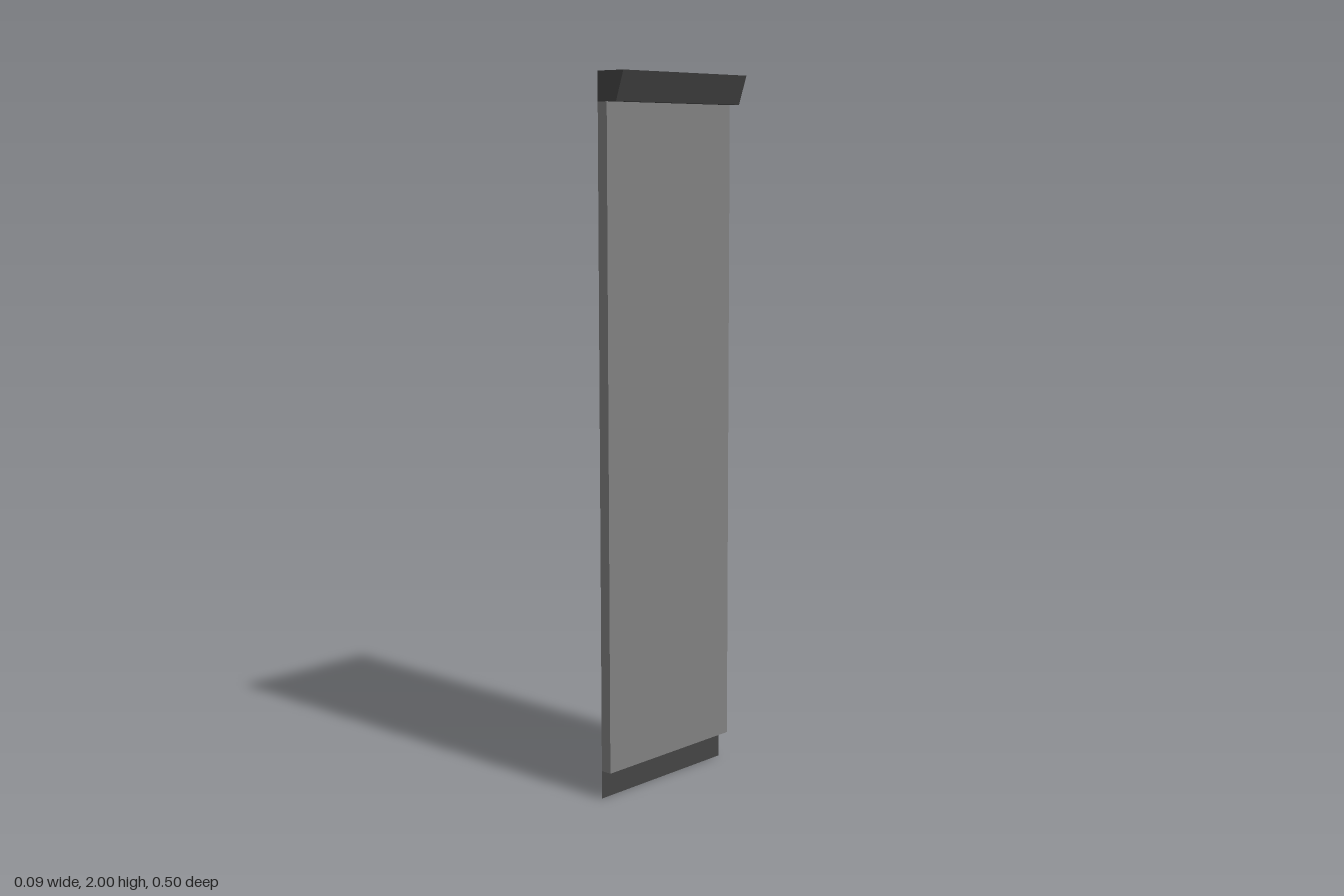
import * as THREE from 'three';

const HALF = 0.25; // half width along z
const BACK = -0.047; // plane of the open back

// Sweeps an open (x, y) profile along z; its two ends are closed with flat caps.
function openBackShell(profile, outline, material, name) {
  const group = new THREE.Group();
  group.name = name;

  const positions = [];
  for (let i = 0; i < profile.length - 1; i++) {
    const [ax, ay] = profile[i];
    const [bx, by] = profile[i + 1];
    positions.push(
      ax, ay, HALF, bx, by, HALF, bx, by, -HALF,
      ax, ay, HALF, bx, by, -HALF, ax, ay, -HALF
    );
  }
  const skin = new THREE.BufferGeometry();
  skin.setAttribute('position', new THREE.Float32BufferAttribute(positions, 3));
  skin.computeVertexNormals();
  const shell = new THREE.Mesh(skin, material);
  shell.name = name + 'Shell';
  group.add(shell);

  const shape = new THREE.Shape(outline.map(([x, y]) => new THREE.Vector2(x, y)));
  for (const side of [1, -1]) {
    const capGeometry = new THREE.ShapeGeometry(shape);
    if (side < 0) {
      // mirror the cap so that it faces -z
      capGeometry.rotateY(Math.PI).scale(-1, 1, 1);
      const index = capGeometry.index;
      for (let i = 0; i < index.count; i += 3) {
        const b = index.getX(i + 1);
        index.setX(i + 1, index.getX(i + 2));
        index.setX(i + 2, b);
      }
      capGeometry.computeVertexNormals();
    }
    const cap = new THREE.Mesh(capGeometry, material);
    cap.position.z = side * HALF;
    cap.name = name + (side > 0 ? 'FrontEnd' : 'BackEnd');
    group.add(cap);
  }
  return group;
}

export function createModel() {
  const panelGrey = new THREE.MeshStandardMaterial({ color: 0x808080, side: THREE.DoubleSide });
  panelGrey.name = 'panelGrey';
  const trimGrey = new THREE.MeshStandardMaterial({ color: 0x444444, side: THREE.DoubleSide });
  trimGrey.name = 'trimGrey';

  const model = new THREE.Group();
  model.name = 'wallPanel';

  // Shallow wall panel, open at the back; the cornice floor closes its top
  const face = -0.014;
  model.add(openBackShell(
    [[face, 1.92], [face, 0.08], [BACK, 0.08]],
    [[BACK, 1.92], [face, 1.92], [face, 0.08], [BACK, 0.08]],
    panelGrey, 'panel'
  ));

  // Cornice with a sloping face, open at the back
  const cornice = [[BACK, 2], [0.047, 2], [0.02, 1.92], [BACK, 1.92]];
  model.add(openBackShell(cornice, cornice, trimGrey, 'cornice'));

  // Recessed flat skirting under the panel
  const skirting = new THREE.Mesh(new THREE.PlaneGeometry(HALF * 2, 0.08), trimGrey);
  skirting.rotation.y = Math.PI / 2;
  skirting.position.set(BACK, 0.04, 0);
  skirting.name = 'skirting';
  model.add(skirting);

  return model;
}
